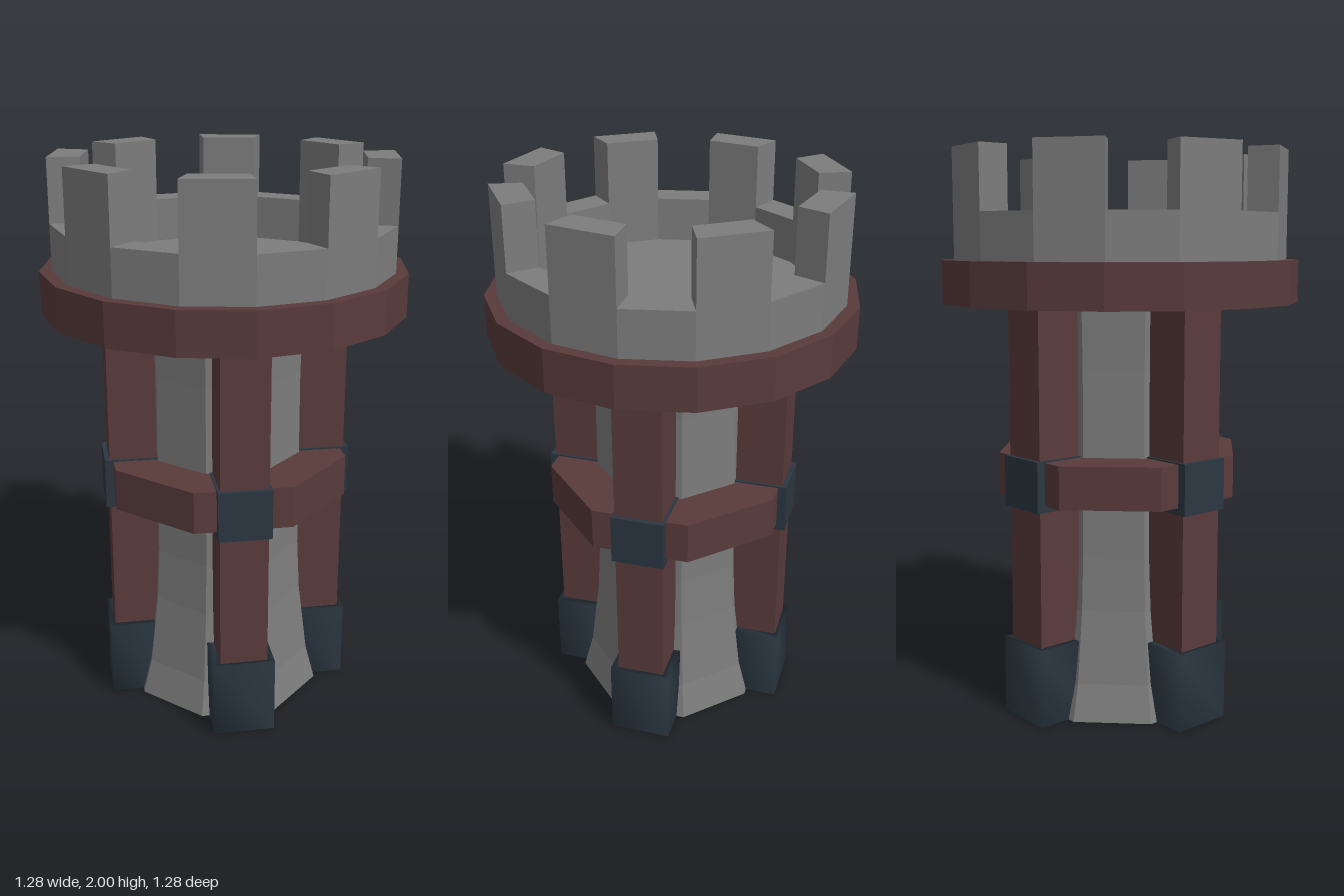
import * as THREE from 'three';
import { mergeVertices } from 'three/addons/utils/BufferGeometryUtils.js';

const material = (name, color) => {
  const m = new THREE.MeshStandardMaterial({ color });
  m.name = name;
  return m;
};

// Split faces so that every facet is flat
const faceted = (geometry) => {
  const g = geometry.index ? geometry.toNonIndexed() : geometry;
  g.computeVertexNormals();
  return g;
};

// Share corners so that shading flows round the edges
const smoothed = (geometry) => {
  geometry.deleteAttribute('normal');
  geometry.deleteAttribute('uv');
  const g = mergeVertices(geometry, 1e-4);
  g.computeVertexNormals();
  return g;
};

export function createModel() {
  const stone = material('stone grey', 0x7c7c7c);
  const wood = material('dark red wood', 0x593b3b);
  const iron = material('blue iron', 0x2b3741);

  const tower = new THREE.Group();
  tower.name = 'tower';
  const add = (parent, name, geometry, mat, y = 0) => {
    const mesh = new THREE.Mesh(geometry, mat);
    mesh.name = name;
    mesh.position.y = y;
    parent.add(mesh);
    return mesh;
  };
  const prism = (radius, height, sides) =>
    faceted(new THREE.CylinderGeometry(radius, radius, height, sides));
  // Extrude a plan outline upward
  const raise = (shape, depth) => {
    const g = new THREE.ExtrudeGeometry(shape, { depth, bevelEnabled: false });
    return faceted(g.rotateX(-Math.PI / 2));
  };
  const STEP = Math.PI / 8;
  const at = (radius, k) =>
    new THREE.Vector2(radius * Math.sin(k * STEP), -radius * Math.cos(k * STEP));
  const polygon = (radius) => Array.from({ length: 16 }, (_, k) => at(radius, k));

  // Eight-sided shaft, flared at the foot
  const profile = [[0, 0], [0.36, 0], [0.325, 0.13], [0.292, 0.39], [0.282, 0.58],
    [0.278, 1.25], [0.285, 1.47]].map(([r, y]) => new THREE.Vector2(r, y));
  add(tower, 'shaft', faceted(new THREE.LatheGeometry(profile, 8)), stone);

  // Wooden belt round the middle and platform under the parapet
  add(tower, 'belt', prism(0.45, 0.15, 8), wood, 0.865);
  add(tower, 'platform', prism(0.64, 0.15, 16), wood, 1.545);
  add(tower, 'floor', prism(0.5, 0.006, 16), stone, 1.62);

  // Parapet wall with a merlon on every other side
  const wall = new THREE.Shape(polygon(0.597));
  wall.holes.push(new THREE.Path(polygon(0.485)));
  add(tower, 'parapet', raise(wall, 0.16), stone, 1.62);
  for (let k = 0; k < 16; k += 2) {
    const plan = new THREE.Shape([at(0.597, k), at(0.597, k + 1), at(0.485, k + 1), at(0.485, k)]);
    add(tower, 'merlon', raise(plan, 0.22), stone, 1.78);
  }

  // Four posts, each with an iron clamp and an open iron shoe
  for (let i = 0; i < 4; i++) {
    const post = new THREE.Group();
    post.name = 'post';
    post.rotation.y = STEP + (i * Math.PI) / 2;
    tower.add(post);
    add(post, 'beam', new THREE.BoxGeometry(0.17, 1.469, 0.17), wood, 0.7355).position.z = 0.345;
    add(post, 'clamp', new THREE.BoxGeometry(0.188, 0.18, 0.19), iron, 0.855).position.z = 0.352;

    const shoe = new THREE.Shape([[-0.11, -0.1], [0.11, -0.1], [0.11, 0.1], [-0.11, 0.1]]
      .map((p) => new THREE.Vector2(...p)));
    shoe.holes.push(new THREE.Path([[-0.084, -0.084], [-0.084, 0.084], [0.084, 0.084], [0.084, -0.084]]
      .map((p) => new THREE.Vector2(...p))));
    add(post, 'shoe', smoothed(raise(shoe, 0.28)), iron).position.z = 0.348;
  }
  return tower;
}
